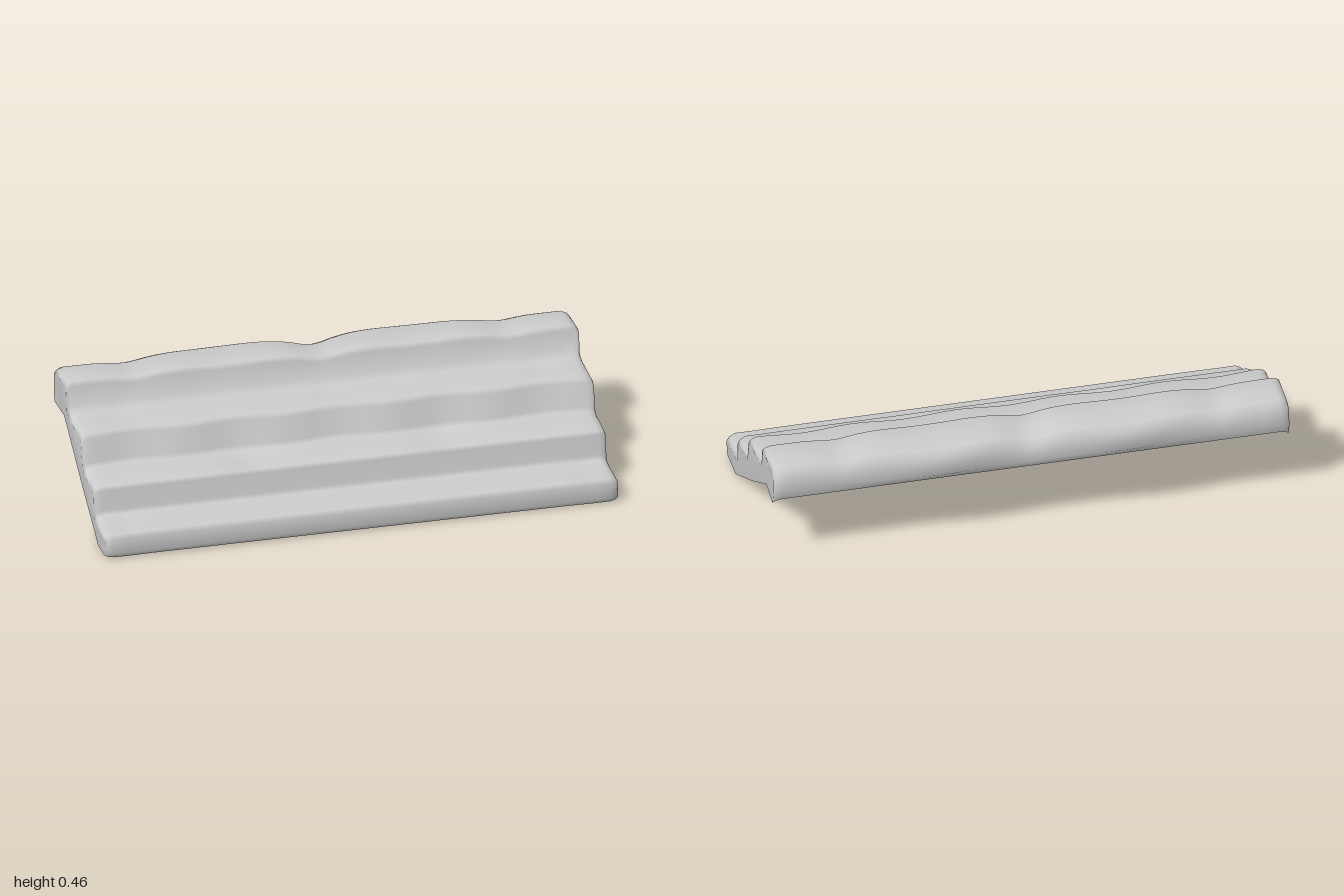
import * as THREE from 'three';

// Stair cross-section [z, y], from the front lip up and over to the back edge
const PROFILE = [
  [0.395, 0.005], [0.408, 0.025], [0.41, 0.085], [0.395, 0.1],
  [0.32, 0.103], [0.24, 0.107], [0.226, 0.12], [0.22, 0.2], [0.21, 0.214],
  [0.13, 0.224], [0.06, 0.227], [0.046, 0.24], [0.024, 0.33], [0.01, 0.345],
  [-0.07, 0.35], [-0.15, 0.354], [-0.188, 0.37], [-0.196, 0.445], [-0.21, 0.46],
  [-0.28, 0.459], [-0.35, 0.455], [-0.385, 0.438], [-0.388, 0.365], [-0.375, 0.325],
];
// Lower corners of the side panels, back to front
const UNDERSIDE = [[-0.24, 0.305], [0, 0.155], [0.27, 0]];

const bump = (v, centre, width) => Math.exp(-(((v - centre) / width) ** 2));

// Worn, uneven stone: shifts a profile point depending on its place along x
function weather(x, z, y) {
  const ax = Math.abs(x);
  let dz = 0, dy = 0;
  // scoops in the second tread
  dy -= 0.022 * bump(z, 0.12, 0.05) * bump(ax, 0.37, 0.1);
  // third riser swings in and out
  if (z > 0 && z < 0.07) dz += 0.008 * Math.cos((ax - 0.2) * Math.PI / 0.2);
  // shallow wear on the lower and third treads
  dy -= 0.01 * bump(z, 0.31, 0.06) * bump(ax, 0.91, 0.06);
  dy -= 0.008 * bump(z, -0.12, 0.06) * (bump(ax, 0.82, 0.06) + bump(ax, 0.0, 0.06));
  dy += 0.004 * bump(z, -0.08, 0.08) * bump(ax, 0.37, 0.06);
  // wavy top ledge with bulging back
  if (y > 0.4) {
    dy += 0.005 * (bump(ax, 0.2, 0.1) + bump(ax, 0.55, 0.1));
    dy -= 0.014 * bump(ax, 0, 0.07) + 0.012 * bump(ax, 0.73, 0.07);
  }
  if (z < -0.33 && y > 0.33) {
    dz -= 0.025 * bump(ax, 0.35, 0.22);
    dy -= 0.01 * bump(ax, 0, 0.1);
  }
  return [z + dz, y + dy];
}

function stairShell() {
  const xs = [-1, -0.99, -0.97];
  for (let i = -23; i <= 23; i++) xs.push(i / 25);
  xs.push(0.97, 0.99, 1);

  const rows = PROFILE.length, pos = [], index = [];
  xs.forEach((x) => {
    // rounded ends: the section shrinks a little towards the sides
    const t = Math.max(0, (Math.abs(x) - 0.97) / 0.03), inset = 0.018 * t * t;
    PROFILE.forEach(([pz, py]) => {
      const [z, y] = weather(x, pz, py);
      pos.push(x, y - (py > 0.05 ? inset : -inset * 0.3), z * (1 - inset * 1.6));
    });
  });
  for (let i = 0; i < xs.length - 1; i++) {
    for (let j = 0; j < rows - 1; j++) {
      const a = i * rows + j, b = a + rows;
      index.push(a, b, b + 1, a, b + 1, a + 1);
    }
  }

  // side panels share the end sections so the shading rolls over the corner
  for (const side of [-1, 1]) {
    const start = side < 0 ? 0 : (xs.length - 1) * rows;
    const ids = PROFILE.map((_, j) => start + j);
    UNDERSIDE.forEach(([z, y]) => {
      ids.push(pos.length / 3);
      pos.push(side * 0.995, y, z);
    });
    ids.reverse();
    const outline = ids.map((k) => new THREE.Vector2(-pos[k * 3 + 2], pos[k * 3 + 1]));
    THREE.ShapeUtils.triangulateShape(outline, []).forEach(([a, b, c]) => {
      if (side > 0) index.push(ids[a], ids[b], ids[c]);
      else index.push(ids[a], ids[c], ids[b]);
    });
  }

  const geometry = new THREE.BufferGeometry();
  geometry.setAttribute('position', new THREE.Float32BufferAttribute(pos, 3));
  geometry.setIndex(index);
  geometry.computeVertexNormals();
  return geometry;
}

export function createModel() {
  const group = new THREE.Group();
  group.name = 'stoneStairs';
  // open underneath, so both faces show
  const stone = new THREE.MeshStandardMaterial({ color: 0xcccccc, side: THREE.DoubleSide });
  const steps = new THREE.Mesh(stairShell(), stone);
  steps.name = 'steps';
  group.add(steps);
  return group;
}
